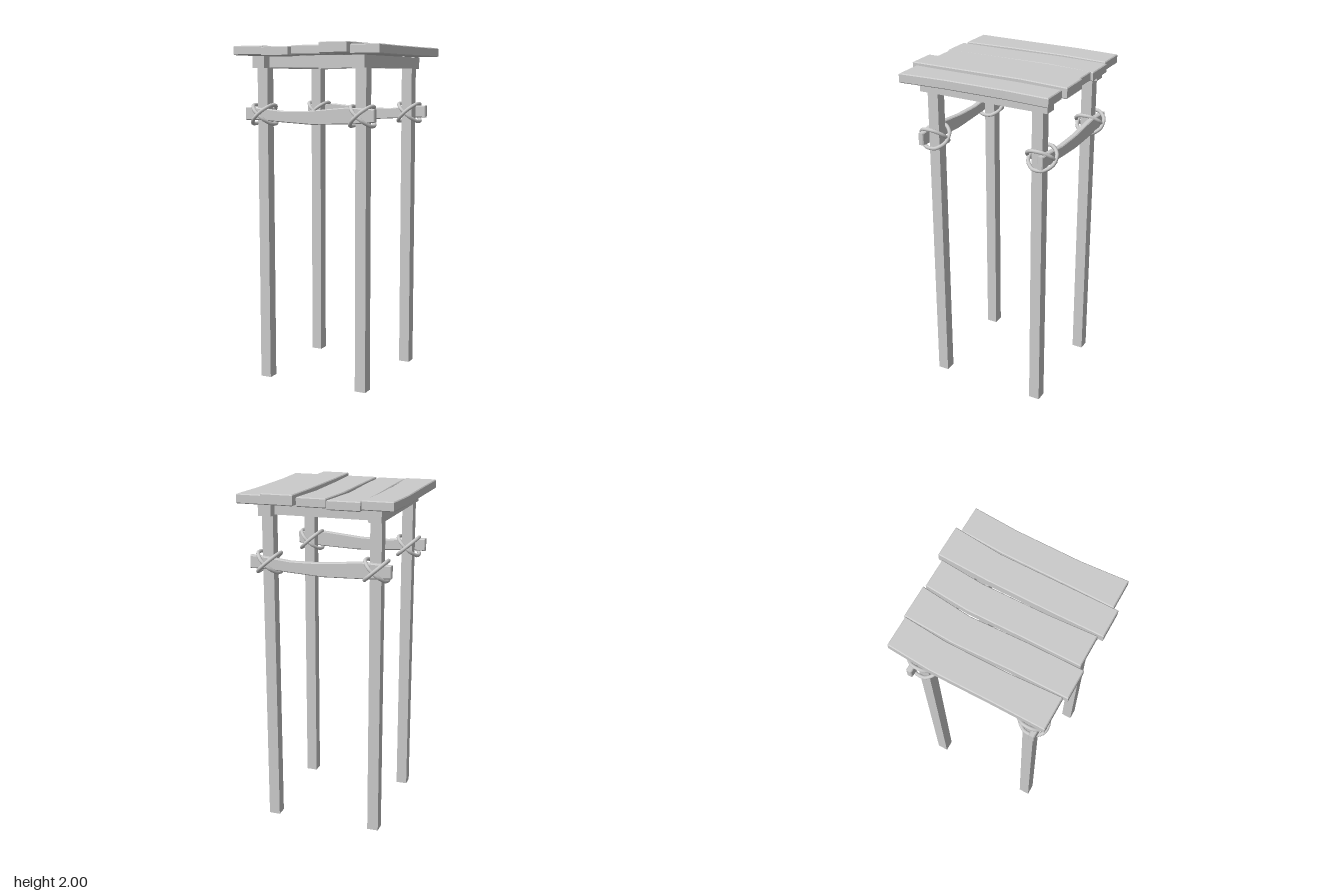
import * as THREE from 'three';

const material = new THREE.MeshStandardMaterial({ color: 0xcccccc, flatShading: true });
const ropeMaterial = new THREE.MeshStandardMaterial({ color: 0xcccccc });

function add(parent, name, geometry, mat = material) {
  const mesh = new THREE.Mesh(geometry, mat);
  mesh.name = name;
  parent.add(mesh);
  return mesh;
}

// Box given by its limits on each axis
function boxBetween(parent, name, [x0, x1], [y0, y1], [z0, z1]) {
  const mesh = add(parent, name, new THREE.BoxGeometry(x1 - x0, y1 - y0, z1 - z0));
  mesh.position.set((x0 + x1) / 2, (y0 + y1) / 2, (z0 + z1) / 2);
}

// Board cut from an outline, with slightly worn edges; thickness runs from 0 upwards in z
function board(outline, thickness) {
  const bevel = 0.005;
  const shape = new THREE.Shape(outline.map(([x, y]) => new THREE.Vector2(x, y)));
  const geometry = new THREE.ExtrudeGeometry(shape, {
    depth: thickness - 2 * bevel, bevelThickness: bevel, bevelSize: bevel,
    bevelOffset: -bevel, bevelSegments: 1,
  });
  return geometry.translate(0, 0, bevel);
}

// Rope loop round a post and rail, tilted to one side
function ropeLoop(tilt) {
  const points = [];
  for (let i = 0; i < 8; i++) {
    const a = (i + 0.5) * Math.PI / 4;
    const x = 0.064 * Math.cos(a);
    points.push(new THREE.Vector3(x, tilt * x * 0.88, 0.082 * Math.sin(a)));
  }
  const curve = new THREE.CatmullRomCurve3(points, true, 'catmullrom', 0.4);
  return new THREE.TubeGeometry(curve, 32, 0.011, 8, true);
}

// Rail with a lashing at each post, relative to the centre of the four posts
function lashedRail(name) {
  const group = new THREE.Group();
  group.name = name;
  const outline = [
    [-0.415, 1.56], [-0.32, 1.56], [-0.17, 1.55], [0.02, 1.54], [0.18, 1.545], [0.30, 1.55], [0.415, 1.56],
    [0.415, 1.632], [0.32, 1.637], [0.24, 1.64], [0.13, 1.63], [0.0, 1.618], [-0.17, 1.615], [-0.32, 1.63], [-0.415, 1.635],
  ];
  add(group, 'rail', board(outline, 0.034)).position.z = 0.361;
  for (const x of [-0.317, 0.317]) {
    for (const tilt of [-1, 1]) {
      add(group, 'ropeLashing', ropeLoop(tilt), ropeMaterial).position.set(x, 1.592, 0.341 + 0.004 * tilt);
    }
  }
  return group;
}

export function createModel() {
  const model = new THREE.Group();
  model.name = 'plankTower';

  // Four square posts
  for (const x of [-0.328, 0.306]) {
    for (const z of [0.319, -0.337]) {
      boxBetween(model, 'post', [x - 0.033, x + 0.033], [0, 1.9], [z - 0.033, z + 0.033]);
    }
  }

  // Beams under the deck
  for (const x of [[-0.367, -0.29], [0.273, 0.349]]) {
    boxBetween(model, 'sideBeam', x, [1.86, 1.928], [-0.4, 0.395]);
  }
  for (const z of [[0.262, 0.335], [-0.343, -0.27]]) {
    boxBetween(model, 'crossBeam', [-0.3, 0.283], [1.862, 1.93], z);
  }

  // Lashed rails, the rear one turned round the centre of the posts
  const front = lashedRail('frontRail');
  const back = lashedRail('backRail');
  back.rotation.y = Math.PI;
  for (const rail of [front, back]) {
    rail.position.set(-0.011, 0, -0.009);
    model.add(rail);
  }

  // Deck planks: rows run from back to front as [z, left edge x, right edge x]
  const planks = [
    { y: 1.933, h: 0.053, rows: [[-0.455, -0.449, -0.271], [-0.2, -0.464, -0.289], [0.15, -0.459, -0.284], [0.453, -0.459, -0.266]] },
    { y: 1.926, h: 0.053, rows: [[-0.466, -0.268, -0.078], [-0.17, -0.278, -0.107], [0.17, -0.264, -0.091], [0.478, -0.259, -0.086]] },
    { y: 1.932, h: 0.053, rows: [[-0.455, -0.07, 0.1], [-0.2, -0.088, 0.082], [0.18, -0.08, 0.092], [0.453, -0.078, 0.11]] },
    { y: 1.938, h: 0.062, rows: [[-0.485, 0.11, 0.295], [-0.2, 0.103, 0.271], [0.2, 0.106, 0.277], [0.483, 0.113, 0.281]] },
    { y: 1.932, h: 0.054, rows: [[-0.455, 0.296, 0.454], [-0.2, 0.285, 0.441], [0.18, 0.288, 0.444], [0.453, 0.288, 0.463]] },
  ];
  for (const { y, h, rows } of planks) {
    const outline = [
      ...rows.map(([z, left]) => [left, -z]),
      ...rows.map(([z, , right]) => [right, -z]).reverse(),
    ];
    const geometry = board(outline, h).rotateX(-Math.PI / 2);
    add(model, 'deckPlank', geometry).position.y = y;
  }
  return model;
}
